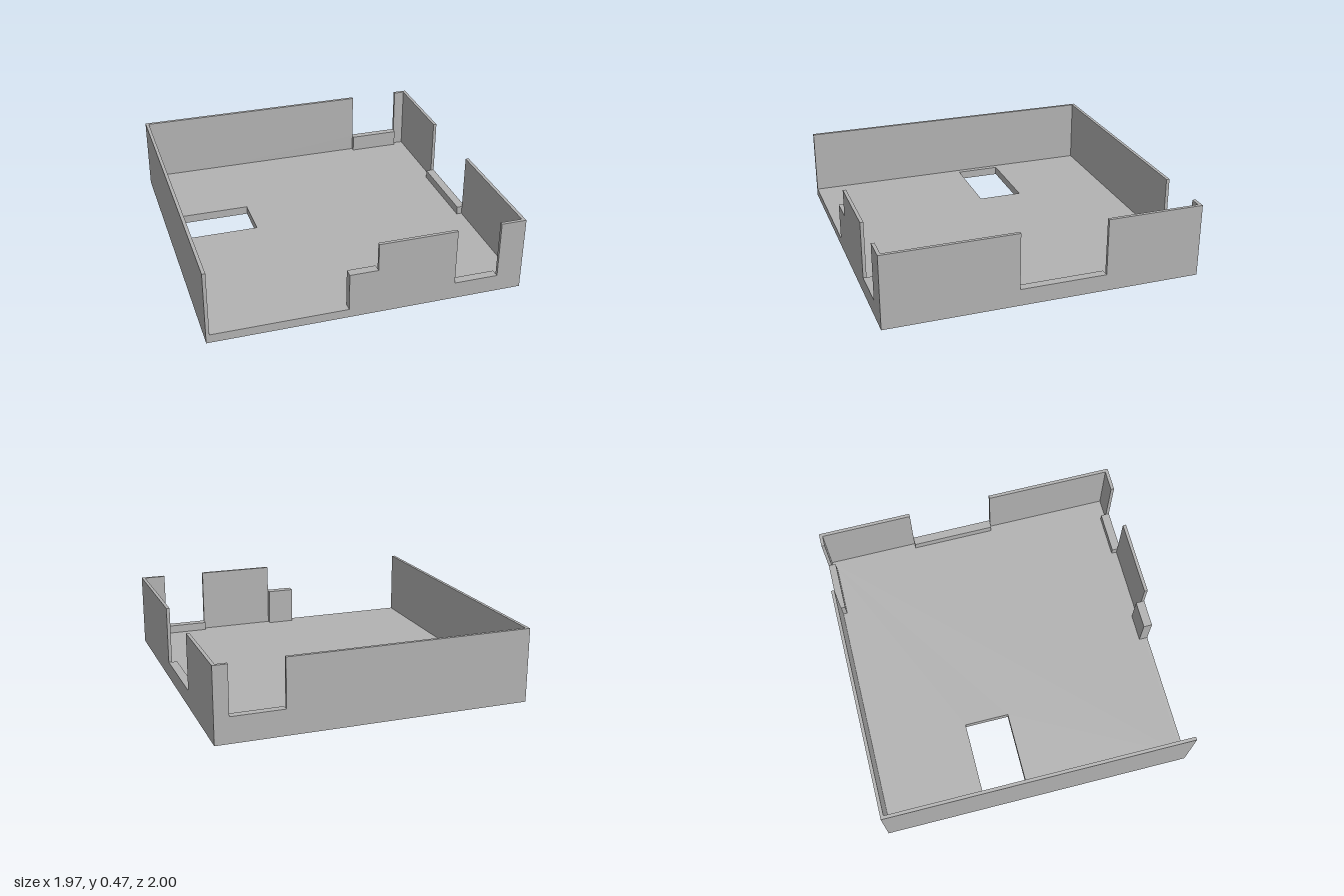
import * as THREE from 'three';

const X = 0.983, Z = 1, H = 0.472;    // outer half width, half depth, height
const T = 0.021, FLOOR = 0.055;       // wall and floor thickness
const XI = X - T, ZI = Z - T;         // inner half sizes

export function createModel() {
  const group = new THREE.Group();
  group.name = 'openTray';
  const grey = new THREE.MeshStandardMaterial({ color: 0xb2b2b2 });
  grey.name = 'grey';

  const add = (name, geometry) => {
    const mesh = new THREE.Mesh(geometry, grey);
    mesh.name = name;
    group.add(mesh);
  };
  const outline = (points) => new THREE.Shape(points.map(([a, b]) => new THREE.Vector2(a, b)));
  const extrude = (shape, depth) =>
    new THREE.ExtrudeGeometry(shape, { depth, bevelEnabled: false });

  // Upright wall facing z, from an (x, y) profile
  const wallAcross = (name, points, z) =>
    add(name, extrude(outline(points), T).translate(0, 0, z));

  // Upright wall facing x, from a (z, y) profile
  const wallAlong = (name, points, xOuter) =>
    add(name, extrude(outline(points), T).rotateY(-Math.PI / 2).translate(xOuter, 0, 0));

  // Block standing on the floor
  const block = (name, x0, x1, top, z0, z1) =>
    add(name, new THREE.BoxGeometry(x1 - x0, top - FLOOR, z1 - z0)
      .translate((x0 + x1) / 2, (top + FLOOR) / 2, (z0 + z1) / 2));

  // Floor with a rectangular through hole (shape y is -z)
  const floor = outline([[-XI, -ZI], [XI, -ZI], [XI, ZI], [-XI, ZI]]);
  floor.holes.push(outline([[-0.928, 0.061], [-0.928, 0.35], [-0.418, 0.35], [-0.418, 0.061]]));
  add('floor', extrude(floor, FLOOR).rotateX(-Math.PI / 2));

  // Front wall: open on one side, stepped edge, and a deep notch
  wallAcross('frontWall', [
    [-XI, 0], [XI, 0], [XI, H], [0.824, H], [0.824, 0.108], [0.545, 0.108],
    [0.545, H], [0.053, H], [0.053, 0.295], [-0.124, 0.295], [-0.124, FLOOR], [-XI, FLOOR],
  ], ZI);
  block('frontStep', -0.124, 0.053, 0.295, 0.944, ZI);
  block('frontSill', 0.545, 0.824, 0.108, 0.944, ZI);

  // Back wall with one notch
  wallAcross('backWall', [
    [-XI, 0], [XI, 0], [XI, H], [0.893, H], [0.893, 0.163], [0.561, 0.163], [0.561, H], [-XI, H],
  ], -Z);
  block('backSill', 0.561, 0.893, 0.163, -ZI, -0.952);

  // Left wall with a wide notch
  wallAlong('leftWall', [
    [-Z, 0], [Z, 0], [Z, H], [0.165, H], [0.165, 0.108], [-0.385, 0.108], [-0.385, H], [-Z, H],
  ], X);
  block('leftSill', 0.928, XI, 0.108, -0.385, 0.165);

  // Plain right wall
  wallAlong('rightWall', [[-Z, 0], [Z, 0], [Z, H], [-Z, H]], -XI);

  return group;
}
